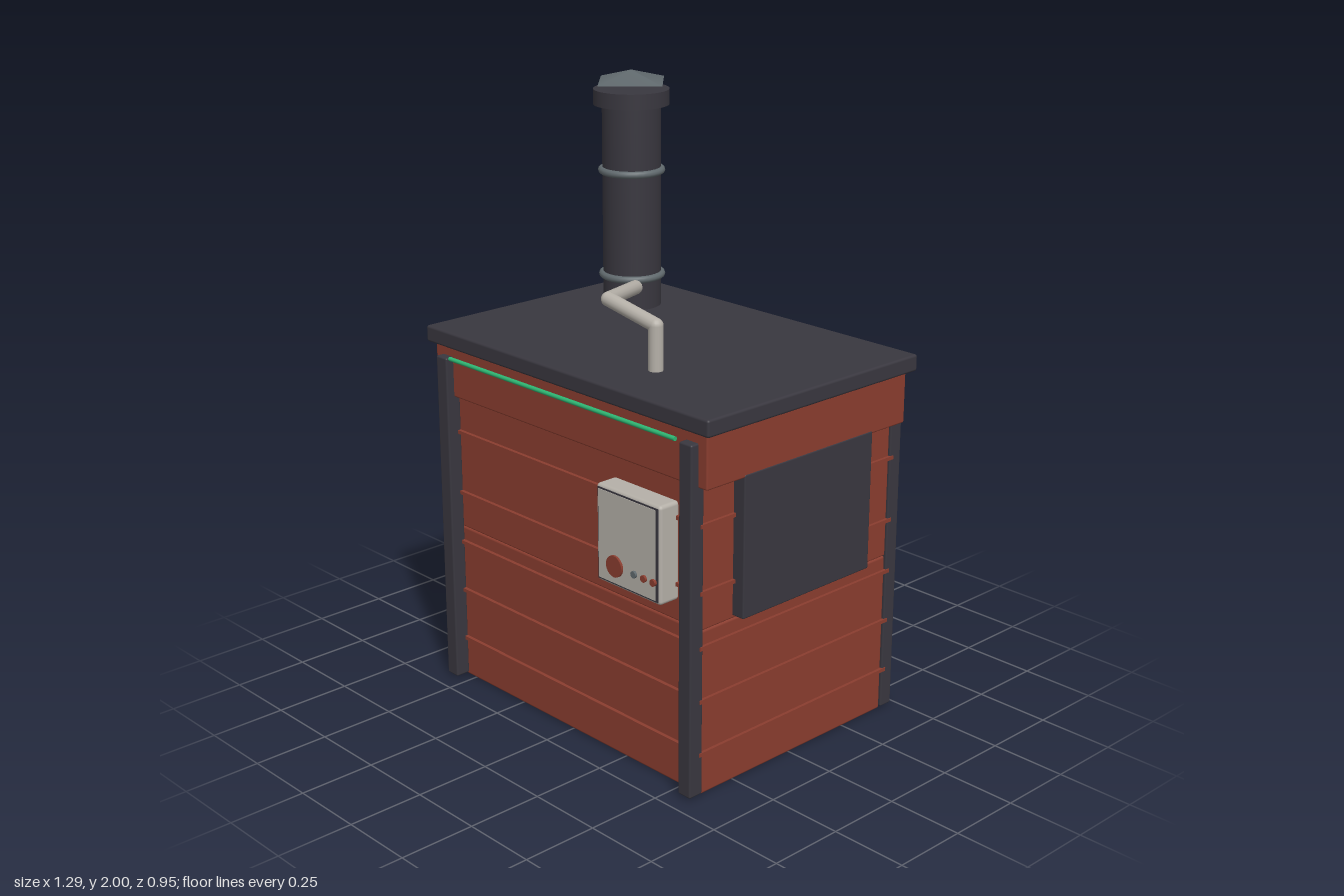
import * as THREE from 'three';
import { RoundedBoxGeometry } from 'three/addons/geometries/RoundedBoxGeometry.js';

const mat = (name, color) => new THREE.MeshStandardMaterial({ name, color });

export function createModel() {
  const root = new THREE.Group();
  root.name = 'stoveCabin';
  const red = mat('paintedTimber', 0x8a3d2f);
  const dark = mat('charcoalMetal', 0x39373f);
  const steel = mat('greySteel', 0x60696d);
  const pale = mat('paleMetal', 0xb5b0a8);
  const green = mat('greenLight', 0x2fb673);

  const add = (name, geometry, material, x = 0, y = 0, z = 0) => {
    const mesh = new THREE.Mesh(geometry, material);
    mesh.name = name;
    mesh.position.set(x, y, z);
    root.add(mesh);
    return mesh;
  };
  // Box given by its limits on each axis, with an optional rounded edge
  const box = (name, material, [x0, x1], [y0, y1], [z0, z1], r = 0) => {
    const w = x1 - x0, h = y1 - y0, d = z1 - z0;
    const g = r ? new RoundedBoxGeometry(w, h, d, 2, r) : new THREE.BoxGeometry(w, h, d);
    return add(name, g, material, (x0 + x1) / 2, (y0 + y1) / 2, (z0 + z1) / 2);
  };
  // Round bar between two points
  const bar = (name, material, a, b, r) => {
    const mesh = add(name, new THREE.CylinderGeometry(r, r, a.distanceTo(b), 16), material);
    mesh.position.copy(a).add(b).multiplyScalar(0.5);
    mesh.quaternion.setFromUnitVectors(new THREE.Vector3(0, 1, 0), b.clone().sub(a).normalize());
  };

  // Cabin walls, upper trim and roof
  box('lowerWalls', red, [-0.58, 0.58], [0.005, 0.545], [-0.43, 0.39], 0.008);
  box('upperWalls', red, [-0.58, 0.58], [0.545, 1.01], [-0.43, 0.39], 0.006);
  box('upperTrim', red, [-0.622, 0.622], [1.0, 1.17], [-0.447, 0.412], 0.006);
  box('roof', dark, [-0.645, 0.645], [1.168, 1.222], [-0.472, 0.432], 0.008);

  // Thin plank strips around all four sides
  for (const y of [0.145, 0.32, 0.493, 0.668, 0.878]) {
    box('sidePlankStrip', red, [-0.59, 0.59], [y - 0.006, y + 0.006], [-0.442, 0.402]);
  }

  // Corner posts and side hatches
  for (const s of [-1, 1]) {
    const span = (a, b) => (s > 0 ? [a, b] : [-b, -a]);
    box('frontPost', dark, span(0.535, 0.587), [0.012, 1.135], [0.388, 0.44], 0.006);
    box('backPost', dark, span(0.535, 0.587), [0.012, 1.135], [-0.478, -0.428], 0.006);
    box('sideHatch', dark, span(0.575, 0.624), [0.555, 1.01], [-0.297, 0.26], 0.005);
  }
  // Light strip under the roof
  bar('lightStrip', green, new THREE.Vector3(-0.52, 1.137, 0.436), new THREE.Vector3(0.517, 1.137, 0.436), 0.007);

  // Control box with bezel, face, knob and buttons
  box('controlBox', pale, [0.207, 0.485], [0.615, 0.927], [0.385, 0.464], 0.012);
  box('controlBezel', dark, [0.217, 0.476], [0.624, 0.918], [0.46, 0.4655]);
  box('controlFace', pale, [0.221, 0.467], [0.629, 0.913], [0.463, 0.4675]);
  for (const [x, r, m, name] of [
    [0.295, 0.034, red, 'controlKnob'], [0.379, 0.011, steel, 'button'],
    [0.421, 0.011, red, 'button'], [0.461, 0.011, red, 'button'],
  ]) {
    add(name, new THREE.CylinderGeometry(r, r, 0.014, 24), m, x, 0.686, 0.468).rotation.x = Math.PI / 2;
  }

  // Chimney with clamp rings, collar and four-sided rain cap
  const cx = -0.382, cz = -0.227;
  add('chimneyPipe', new THREE.CylinderGeometry(0.096, 0.096, 0.69, 32), dark, cx, 1.56, cz);
  add('chimneyCollar', new THREE.CylinderGeometry(0.124, 0.124, 0.05, 32), dark, cx, 1.915, cz);
  for (const y of [1.326, 1.675]) {
    add('chimneyRing', new THREE.TorusGeometry(0.098, 0.012, 10, 32), steel, cx, y, cz).rotation.x = Math.PI / 2;
  }
  add('chimneyCap', new THREE.ConeGeometry(0.146, 0.037, 4), steel, cx, 1.9815, cz);

  // Bent roof pipe
  const path = [[0.21, 1.2, 0.222], [0.21, 1.362, 0.222], [0, 1.4, 0.222], [-0.143, 1.362, -0.022]]
    .map((p) => new THREE.Vector3(...p));
  for (let i = 0; i < 3; i++) {
    bar('roofPipe', pale, path[i], path[i + 1], 0.023);
    if (i) add('roofPipeElbow', new THREE.SphereGeometry(0.023, 16, 12), pale, ...path[i].toArray());
  }
  return root;
}
